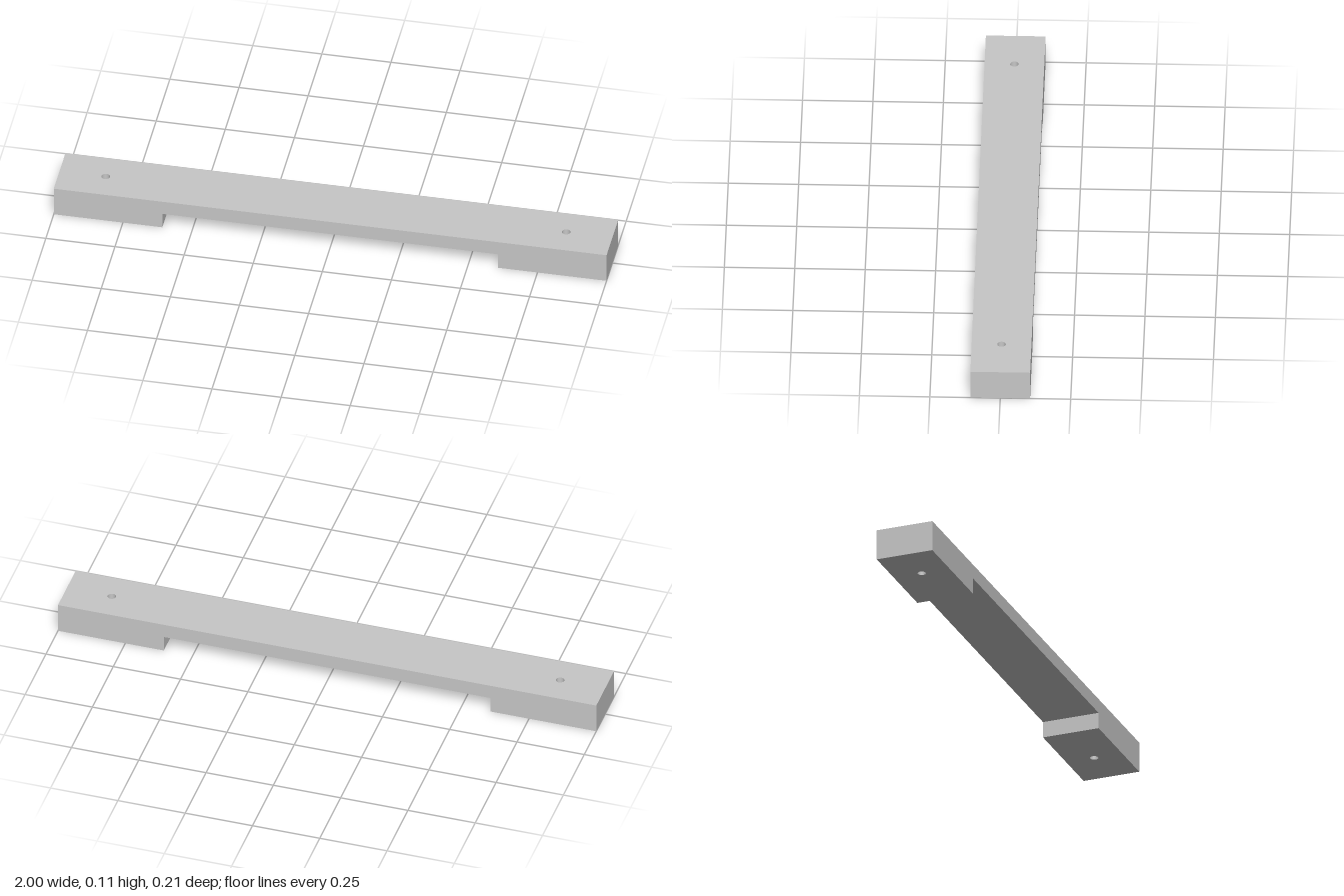
import * as THREE from 'three';

const HEIGHT = 0.114, HALF_DEPTH = 0.106;
const NOTCH_X = 0.607, NOTCH_Y = 0.06;
const HOLE_X = 0.833, HOLE_R = 0.015;

// Full-height end block with a vertical screw hole; side is +1 or -1
function endBlockGeometry(side) {
  const x0 = side > 0 ? NOTCH_X : -1;
  const x1 = side > 0 ? 1 : -NOTCH_X;
  const shape = new THREE.Shape([
    new THREE.Vector2(x0, -HALF_DEPTH), new THREE.Vector2(x1, -HALF_DEPTH),
    new THREE.Vector2(x1, HALF_DEPTH), new THREE.Vector2(x0, HALF_DEPTH),
  ]);
  const hole = new THREE.Path();
  hole.absarc(side * HOLE_X, 0, HOLE_R, 0, Math.PI * 2, true);
  shape.holes.push(hole);
  const geometry = new THREE.ExtrudeGeometry(shape, { depth: HEIGHT, bevelEnabled: false, curveSegments: 24 });
  return geometry.rotateX(-Math.PI / 2);
}

export function createModel() {
  const group = new THREE.Group();
  group.name = 'barHandle';
  const grey = new THREE.MeshStandardMaterial({ color: 0xc6c6c6 });
  grey.name = 'lightGrey';

  // Thin grip between the two mounting blocks
  const grip = new THREE.Mesh(new THREE.BoxGeometry(2 * NOTCH_X, HEIGHT - NOTCH_Y, 2 * HALF_DEPTH), grey);
  grip.position.y = (HEIGHT + NOTCH_Y) / 2;
  grip.name = 'grip';
  group.add(grip);

  // Mounting blocks
  for (const side of [-1, 1]) {
    const block = new THREE.Mesh(endBlockGeometry(side), grey);
    block.name = side > 0 ? 'leftMountingBlock' : 'rightMountingBlock';
    group.add(block);
  }
  return group;
}
